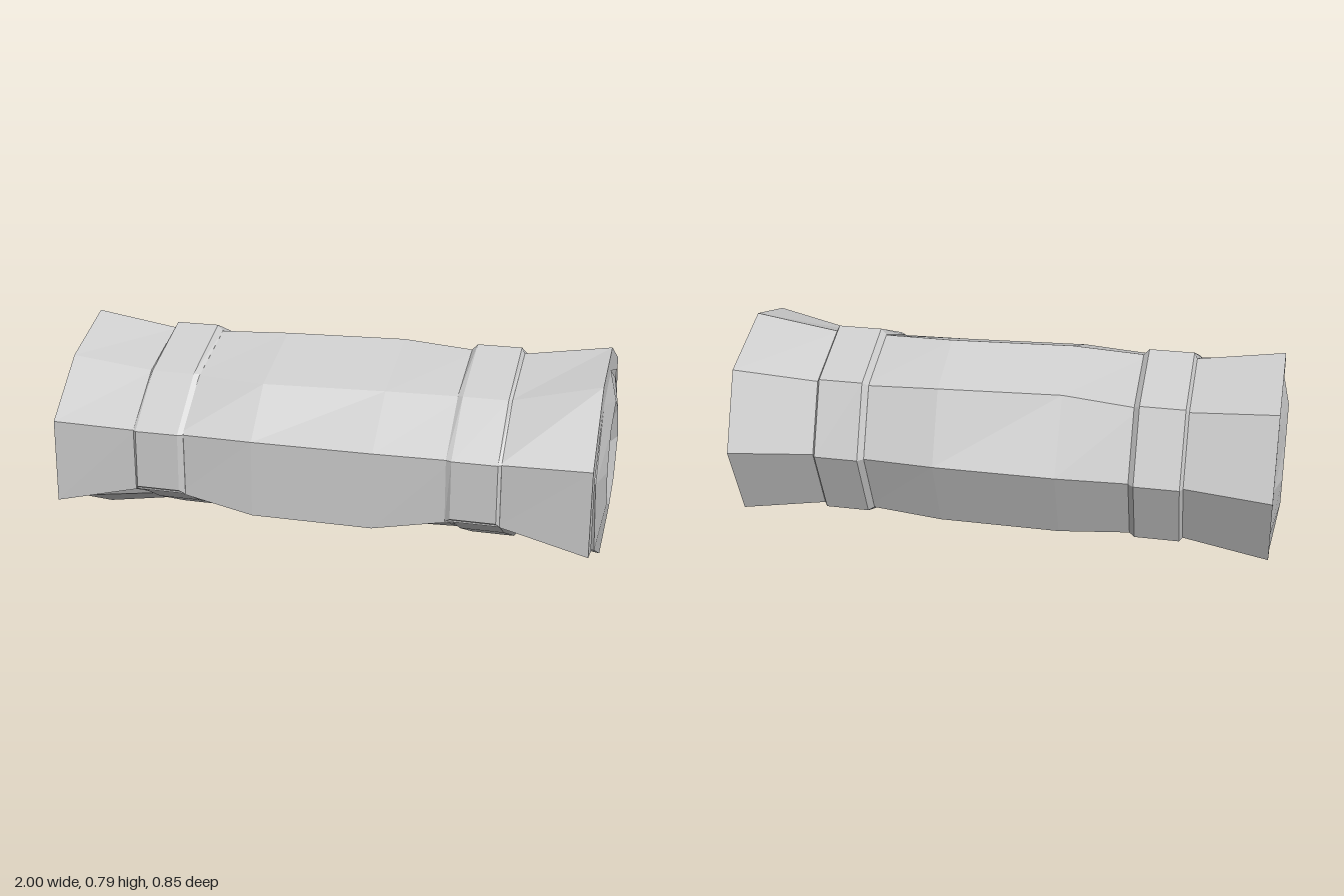
import * as THREE from 'three';

// Cross-sections as [z, y], running from the flap tip over the top, round the back to the lower front
const END = [[.425, .18], [.42, .485], [.22, .70], [-.03, .79], [-.31, .675], [-.425, .395], [-.31, .115], [-.03, 0], [.21, .115]];
const NECK = [[.405, .25], [.407, .475], [.22, .645], [-.03, .742], [-.272, .64], [-.37, .395], [-.27, .15], [-.03, .05], [.2, .155]];
const MID = [[.42, .2], [.415, .475], [.25, .645], [-.045, .755], [-.265, .655], [-.385, .395], [-.28, .13], [-.03, .04], [.21, .14]];
const STRAP = [[.42, .265], [.417, .475], [.235, .65], [-.03, .765], [-.287, .655], [-.39, .395], [-.285, .14], [-.03, .033], [.22, .15]];

// Inside of the outer layer and the rolled core, both at the end section
const LINING = [[.335, .165], [.35, .43], [.175, .62], [-.03, .705], [-.27, .64], [-.35, .395], [-.24, .185], [-.03, 0]];
const CORE = [[.31, .40], [.175, .62], [-.03, .705], [-.245, .615], [-.318, .395], [-.24, .185], [-.03, 0], [.21, .115]];
const DIMPLE = [[.16, .395], [.12, .53], [-.03, .595], [-.15, .53], [-.225, .395], [-.15, .26], [-.02, .2], [.11, .255]];
const CENTRE = [-.03, .395];

// The roll is slightly twisted: the upper points of a section lean one way on each side
const twist = (pts, dz, dy) => pts.map(([z, y], i) => [
  z + (i >= 2 && i <= 4 ? dz : 0), y + (i === 2 ? dy : 0)]);

const SECTIONS = [
  { x: -.975, pts: twist(END, 0, -.02) },
  { x: -.66, pts: NECK },
  { x: -.5, pts: NECK },
  { x: -.22, pts: twist(MID, .017, 0) },
  { x: .22, pts: twist(MID, -.017, 0) },
  { x: .5, pts: NECK },
  { x: .66, pts: NECK },
  { x: .975, pts: twist(END, 0, .02) },
];

// Moves an end-section outline by the same amount as the outer points it follows
const follow = (outline, pts, offset) => outline.map(([z, y], i) => {
  const k = i + offset;
  return [z + pts[k][0] - END[k][0], y + pts[k][1] - END[k][1]];
});

const scaled = (pts, s) => pts.map(([z, y]) => [
  CENTRE[0] + (z - CENTRE[0]) * s, CENTRE[1] + (y - CENTRE[1]) * s]);

// Skins a row of closed rings { x, pts } with flat faces
function loft(rings) {
  const pos = [];
  const a = new THREE.Vector3(), b = new THREE.Vector3(), c = new THREE.Vector3();
  const tri = (p, q, r) => {
    if (new THREE.Triangle(a.set(...p), b.set(...q), c.set(...r)).getArea() > 1e-7) pos.push(...p, ...q, ...r);
  };
  for (let k = 0; k + 1 < rings.length; k++) {
    const at = (ring, i) => {
      const [z, y] = ring.pts[i % ring.pts.length];
      return [ring.x, y, z];
    };
    for (let i = 0; i < rings[k].pts.length; i++) {
      const p = at(rings[k], i), q = at(rings[k + 1], i);
      const r = at(rings[k + 1], i + 1), s = at(rings[k], i + 1);
      tri(p, q, r);
      tri(p, r, s);
    }
  }
  const geometry = new THREE.BufferGeometry();
  geometry.setAttribute('position', new THREE.Float32BufferAttribute(pos, 3));
  geometry.computeVertexNormals();
  return geometry;
}

export function createModel() {
  const group = new THREE.Group();
  const material = new THREE.MeshStandardMaterial({
    color: 0xcccccc, flatShading: true, side: THREE.DoubleSide });
  const add = (name, rings) => {
    const mesh = new THREE.Mesh(loft(rings), material);
    mesh.name = name;
    group.add(mesh);
  };

  // Outer layer: a thick sheet wrapped round, its free edge hanging at the front
  const sheet = SECTIONS.map(({ x, pts }) => {
    const lining = follow(LINING, pts, 0);
    return { x, pts: [...pts.slice(0, 8), ...lining.reverse()] };
  });
  // Collapsing the outside onto the lining closes the sheet's ends
  const closed = ({ x, pts }) => ({ x, pts: [...pts.slice(8).reverse(), ...pts.slice(8)] });
  add('outerLayer', [closed(sheet[0]), ...sheet, closed(sheet[sheet.length - 1])]);

  // Core: bulging ends with a dimpled centre
  const core = SECTIONS.map(({ x, pts }) => ({ x, pts: follow(CORE, pts, 1) }));
  const cap = (side) => [
    { x: side, pts: DIMPLE },
    { x: side * .94, pts: DIMPLE.map(() => CENTRE) },
  ];
  add('rolledCore', [...cap(-1).reverse(), ...core, ...cap(1)]);

  // Two straps with bevelled edges
  for (const side of [-1, 1]) {
    const rings = [
      { x: .477, pts: scaled(NECK, .9) },
      { x: .477, pts: scaled(NECK, 1.005) },
      { x: .497, pts: STRAP },
      { x: .657, pts: STRAP },
      { x: .668, pts: scaled(NECK, 1.005) },
      { x: .668, pts: scaled(NECK, .9) },
    ].map(({ x, pts }) => ({ x: x * side, pts }));
    add(side > 0 ? 'leftStrap' : 'rightStrap', side > 0 ? rings : rings.reverse());
  }
  return group;
}
